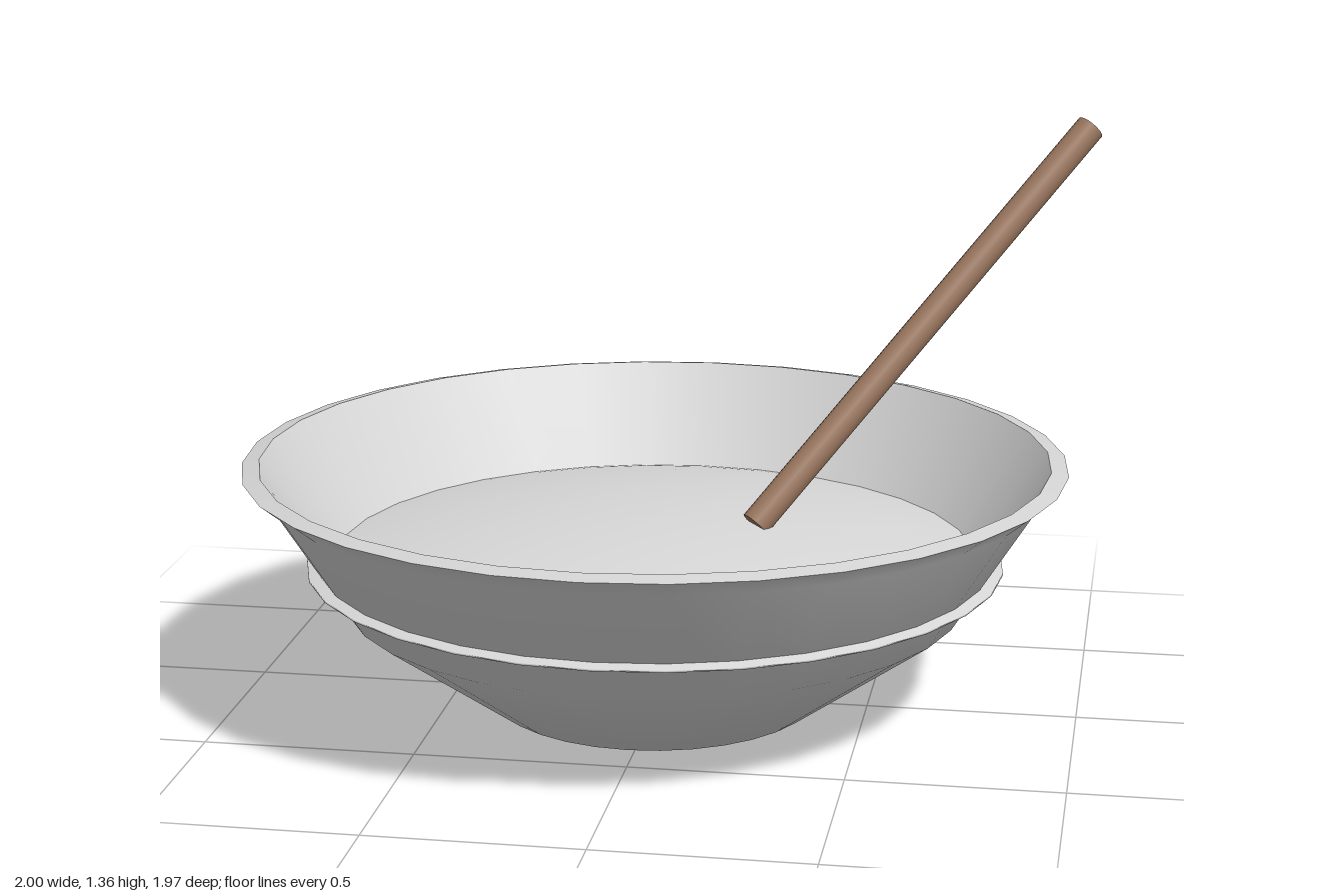
import * as THREE from 'three';

const SIDES = 32;

function lathe(name, profile, material) {
  const points = profile.map(([r, y]) => new THREE.Vector2(r, y));
  const mesh = new THREE.Mesh(new THREE.LatheGeometry(points, SIDES), material);
  mesh.name = name;
  return mesh;
}

export function createModel() {
  const ceramic = new THREE.MeshStandardMaterial({ color: 0xd4d4d4, name: 'pale grey ceramic', side: THREE.DoubleSide });
  const filling = new THREE.MeshStandardMaterial({ color: 0xd8d8d8, name: 'pale grey filling', side: THREE.DoubleSide });
  const wood = new THREE.MeshStandardMaterial({ color: 0x9c7860, name: 'brown wood' });

  const model = new THREE.Group();
  model.name = 'mixingBowl';

  // Bowl: outer wall, slightly sloped rim and inner wall
  const bowl = new THREE.Group();
  bowl.name = 'bowl';
  bowl.position.x = -0.018;
  bowl.add(
    lathe('outerWall', [[0, 0], [0.392, 0], [0.74, 0.25], [0.93, 0.55], [0.983, 0.593]], ceramic),
    lathe('rim', [[0.983, 0.593], [0.942, 0.602]], ceramic),
    lathe('innerWall', [[0.942, 0.602], [0.68, 0.25], [0.36, 0.03], [0, 0.03]], ceramic),
  );

  // Filling: a shallow dome whose edge shows as a thin ring outside the wall
  const radius = 0.835;
  const dome = [[0, 0.345], [radius, 0.345]];
  for (let i = 8; i >= 0; i--) {
    const t = i / 8;
    dome.push([radius * t, 0.35 + 0.1 * (1 - t * t)]);
  }
  bowl.add(lathe('filling', dome, filling));
  model.add(bowl);

  // Stirring stick standing in the filling and leaning over the back of the rim
  const low = new THREE.Vector3(0.225, 0.443, 0.002);
  const high = new THREE.Vector3(0.97, 1.33, -0.545);
  const axis = high.clone().sub(low);
  const stick = new THREE.Mesh(new THREE.CylinderGeometry(0.036, 0.036, axis.length(), 16), wood);
  stick.name = 'stirringStick';
  stick.position.copy(low).add(high).multiplyScalar(0.5);
  stick.quaternion.setFromUnitVectors(new THREE.Vector3(0, 1, 0), axis.normalize());
  model.add(stick);

  return model;
}
